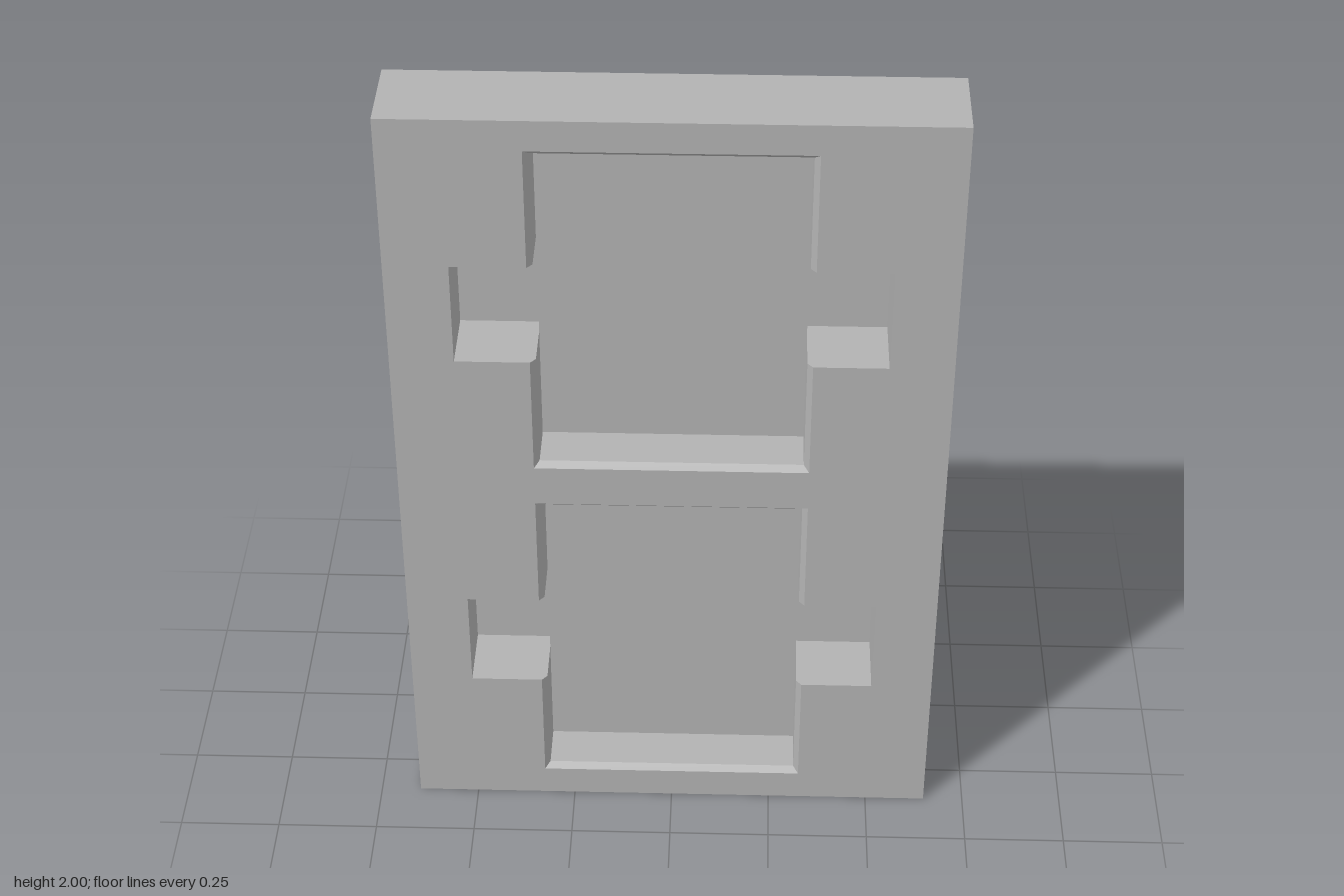
import * as THREE from 'three';

// Slab and pocket dimensions
const W = 0.65, H = 2, FRONT = 0.1075, BACK = -0.1075;
const LIP = FRONT - 0.015;          // bottom of the chamfer
const FLOOR = FRONT - 0.127;        // main pocket floor
const NOTCH_FLOOR = FRONT - 0.167;  // finger notch floor
const BEVEL = 0.013;
const POCKET_HALF_W = 0.325, NOTCH_X = 0.5;

// Counter-clockwise rectangle seen from the front
const rect = (x0, y0, x1, y1) => [[x0, y0], [x1, y0], [x1, y1], [x0, y1]];

// Cross-shaped pocket outline, inset by i on the tall part only
function pocketOutline(y, i) {
  const x = POCKET_HALF_W - i, b = y + i, t = y + 0.869 - i;
  const n0 = y + 0.306, n1 = y + 0.566;
  return [[-x, b], [x, b], [x, n0], [NOTCH_X, n0], [NOTCH_X, n1], [x, n1],
    [x, t], [-x, t], [-x, n1], [-NOTCH_X, n1], [-NOTCH_X, n0], [-x, n0]];
}

export function createModel() {
  const grey = new THREE.MeshStandardMaterial({ color: 0xb2b2b2 });
  grey.name = 'plain grey';
  const group = new THREE.Group();
  group.name = 'pocketPanel';

  const addMesh = (name, geometry) => {
    const mesh = new THREE.Mesh(geometry, grey);
    mesh.name = name;
    group.add(mesh);
  };

  // Collects flat quads into one geometry
  function quadBuilder() {
    const pos = [];
    const quad = (a, b, c, d) => pos.push(...a, ...b, ...c, ...a, ...c, ...d);
    return {
      // Walls between a front loop and a back loop, facing the loop's inside
      band(f, zf, k, zk) {
        f.forEach((p, i) => {
          const j = (i + 1) % f.length;
          quad([...p, zf], [...f[j], zf], [...k[j], zk], [...k[i], zk]);
        });
      },
      face(loop, z) { quad(...loop.map(p => [...p, z])); },
      build() {
        const g = new THREE.BufferGeometry();
        g.setAttribute('position', new THREE.Float32BufferAttribute(pos, 3));
        g.computeVertexNormals();
        return g;
      },
    };
  }

  // Outer sides and back of the slab
  const shell = quadBuilder();
  const outside = rect(-W, 0, W, H).reverse();
  shell.band(outside, FRONT, outside, BACK);
  shell.face(outside, BACK);
  addMesh('slabShell', shell.build());

  // Front face with both pocket openings cut out
  const toVectors = loop => loop.map(p => new THREE.Vector2(...p));
  const shape = new THREE.Shape(toVectors(rect(-W, 0, W, H)));
  const pockets = [['lowerPocket', 0.08], ['upperPocket', 1.055]];
  for (const [, y] of pockets) shape.holes.push(new THREE.Path(toVectors(pocketOutline(y, 0))));
  addMesh('frontFace', new THREE.ShapeGeometry(shape).translate(0, 0, FRONT));

  // Recessed pockets: chamfered lip, walls, floor and two deeper side notches
  for (const [name, y] of pockets) {
    const p = quadBuilder();
    const inner = pocketOutline(y, BEVEL), x = POCKET_HALF_W - BEVEL;
    p.band(pocketOutline(y, 0), FRONT, inner, LIP);
    p.band(inner, LIP, inner, FLOOR);
    p.face(rect(-x, y + BEVEL, x, y + 0.869 - BEVEL), FLOOR);
    for (const [x0, x1] of [[-NOTCH_X, -x], [x, NOTCH_X]]) {
      const notch = rect(x0, y + 0.306, x1, y + 0.566);
      p.band(notch, FLOOR, notch, NOTCH_FLOOR);
      p.face(notch, NOTCH_FLOOR);
    }
    addMesh(name, p.build());
  }
  return group;
}
